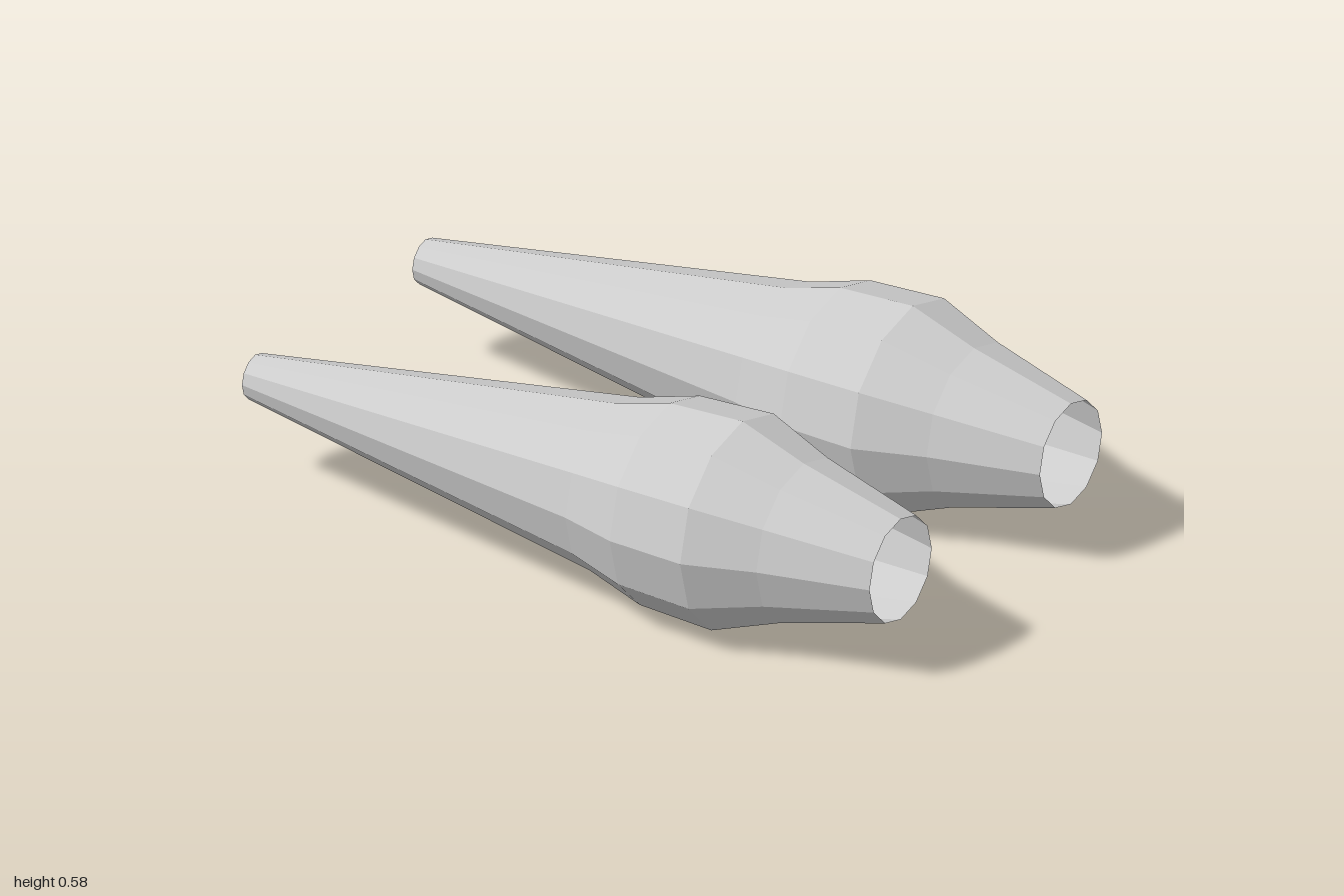
import * as THREE from 'three';

export function createModel() {
  const model = new THREE.Group();
  model.name = 'pairOfTubes';

  const lightGrey = new THREE.MeshStandardMaterial({
    color: 0xcccccc, flatShading: true, side: THREE.DoubleSide,
  });
  lightGrey.name = 'lightGrey';

  // Open tapered shell: [radius, position along x]
  const profile = [
    [0.062, -1], [0.233, 0.115], [0.281, 0.285],
    [0.291, 0.51], [0.222, 0.7], [0.145, 1],
  ].map(([r, x]) => new THREE.Vector2(r, x));
  const shell = new THREE.LatheGeometry(profile, 12);
  shell.rotateZ(-Math.PI / 2); // lay the axis along x, wide end at +x

  // Two matching tubes, side by side
  for (const [name, z] of [['frontTube', 0.397], ['backTube', -0.397]]) {
    const tube = new THREE.Mesh(shell, lightGrey);
    tube.name = name;
    tube.position.set(0, 0.291, z);
    model.add(tube);
  }
  return model;
}
